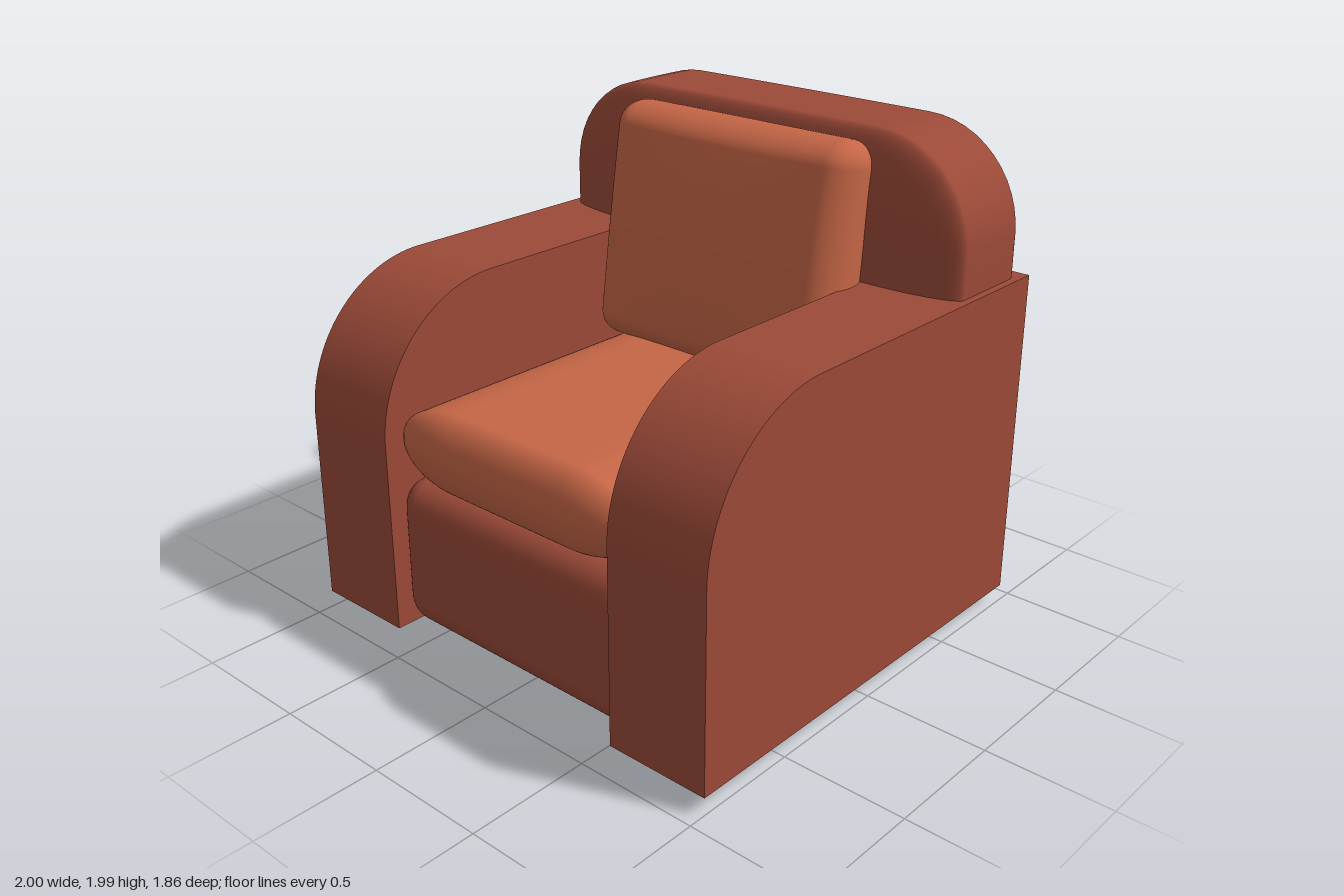
import * as THREE from 'three';
import { mergeVertices, toCreasedNormals } from 'three/addons/utils/BufferGeometryUtils.js';

const leather = new THREE.MeshStandardMaterial({ color: 0x9c4a38 });
leather.name = 'russet leather';
const cushionLeather = new THREE.MeshStandardMaterial({ color: 0xc66646 });
cushionLeather.name = 'light tan leather';
const darkWood = new THREE.MeshStandardMaterial({ color: 0x403024 });
darkWood.name = 'dark wood';

// Padded block: half sizes h, elliptical edge radii r, optional bulge along one axis
function paddedBlock(h, r, bulge = 0, axis = 2) {
  const n = 24;
  const box = new THREE.BoxGeometry(2, 2, 2, n, n, n);
  box.deleteAttribute('uv');
  box.deleteAttribute('normal');
  const geo = mergeVertices(box);
  const pos = geo.attributes.position;
  for (let i = 0; i < pos.count; i++) {
    const core = [], d = [];
    for (let k = 0; k < 3; k++) {
      const t = pos.getComponent(i, k), a = Math.abs(t), s = Math.sign(t);
      core[k] = s * (h[k] - r[k]) * Math.min(1, a * 2);
      d[k] = a > 0.5 ? s * Math.tan((a * 2 - 1) * Math.PI / 4) : 0;
    }
    const len = Math.hypot(...d);
    const p = core.map((c, k) => c + r[k] * d[k] / len);
    // Swell the broad faces towards their middle
    let falloff = 1;
    for (let k = 0; k < 3; k++) if (k !== axis) falloff *= 1 - (p[k] / h[k]) ** 2;
    p[axis] += bulge * falloff * p[axis] / h[axis];
    pos.setXYZ(i, ...p);
  }
  geo.computeVertexNormals();
  return geo;
}

export function createModel() {
  const group = new THREE.Group();
  function add(name, geometry, material, x, y, z) {
    const mesh = new THREE.Mesh(geometry, material);
    mesh.name = name;
    mesh.position.set(x, y, z);
    group.add(mesh);
    return mesh;
  }

  // Armrests: side profile with a quarter-round front top
  const profile = new THREE.Shape();
  profile.moveTo(-0.93, 0.07);
  profile.lineTo(0.93, 0.07);
  profile.lineTo(0.93, 0.85);
  profile.absarc(0.37, 0.85, 0.56, 0, Math.PI / 2, false);
  profile.lineTo(-0.93, 1.41);
  profile.closePath();
  const extruded = new THREE.ExtrudeGeometry(profile, { depth: 0.43, bevelEnabled: false, curveSegments: 24 });
  extruded.rotateY(-Math.PI / 2);
  const armGeo = toCreasedNormals(extruded, 0.5);
  add('leftArmrest', armGeo, leather, 1, 0, 0);
  add('rightArmrest', armGeo, leather, -0.57, 0, 0);

  // Backrest and seat base
  add('backrest', paddedBlock([0.97, 0.95, 0.243], [0.4, 0.4, 0.08], 0.008, 1), leather, 0, 1.03, -0.683);
  add('seatBase', paddedBlock([0.6, 0.305, 0.8], [0.1, 0.12, 0.1]), leather, 0, 0.385, 0.08);

  // Loose cushions
  add('seatCushion', paddedBlock([0.6, 0.16, 0.7], [0.3, 0.155, 0.1], 0.006, 1), cushionLeather, 0, 0.855, 0.2);
  const backCushion = add('backCushion', paddedBlock([0.585, 0.485, 0.13], [0.1, 0.1, 0.125], 0.055, 2),
    cushionLeather, 0, 1.46, -0.37);
  backCushion.rotation.x = -0.15;

  // Bun feet
  const footProfile = [[0, 0.005], [0.045, 0.007], [0.062, 0.018], [0.068, 0.04], [0.062, 0.065], [0.045, 0.08], [0, 0.08]]
    .map(([x, y]) => new THREE.Vector2(x, y - 0.005));
  const footGeo = new THREE.LatheGeometry(footProfile, 24);
  for (const [side, x] of [['Left', 0.79], ['Right', -0.79]])
    for (const [end, z] of [['front', 0.73], ['back', -0.73]])
      add(`${end}${side}Foot`, footGeo, darkWood, x, 0, z);

  return group;
}
